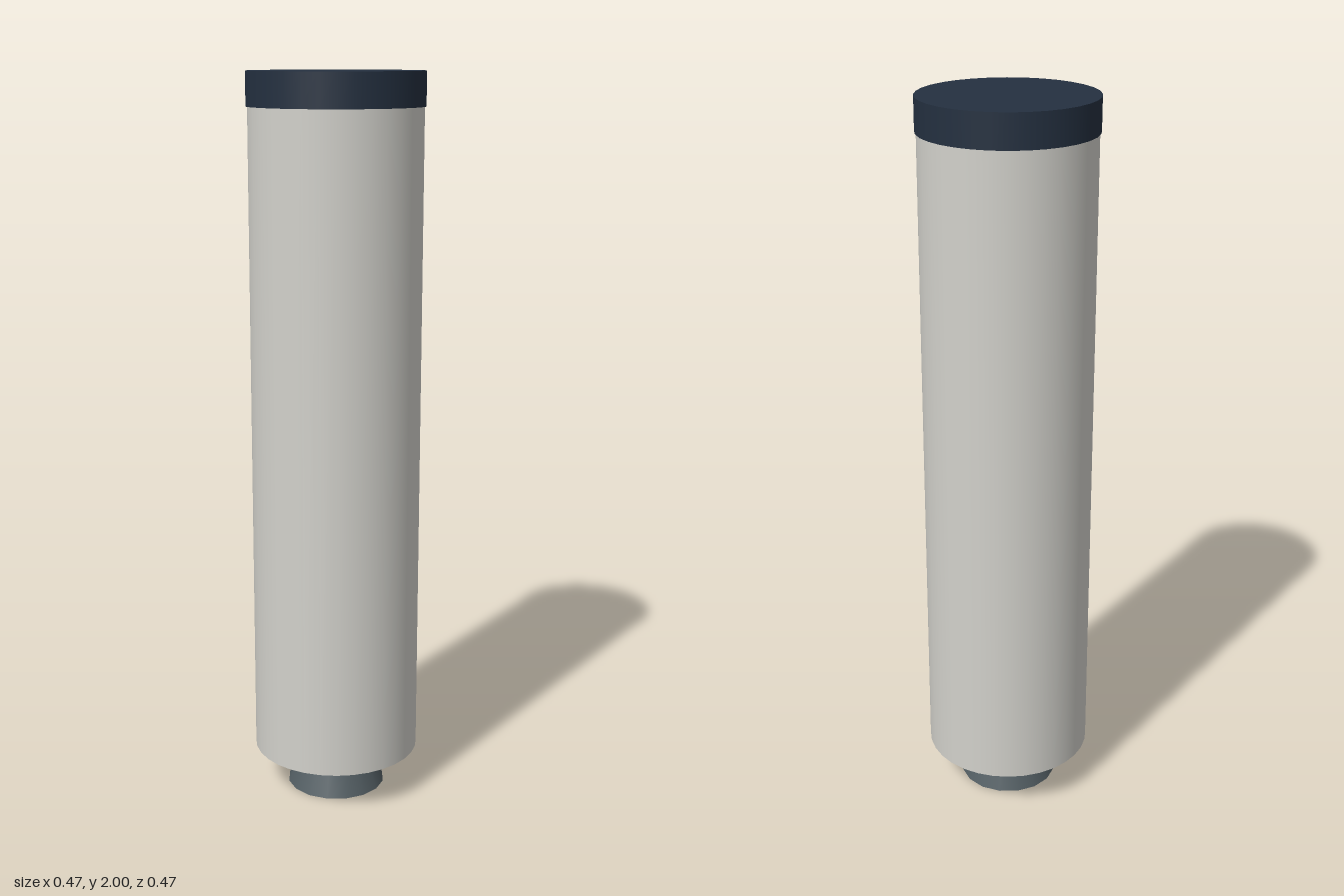
import * as THREE from 'three';

const paint = (name, color) => {
  const material = new THREE.MeshStandardMaterial({ color });
  material.name = name;
  return material;
};

export function createModel() {
  const model = new THREE.Group();
  model.name = 'boosterStage';

  const shell = paint('pale grey shell', 0xd2d1cb);
  const navy = paint('dark navy', 0x243040);
  const metal = paint('dark metal', 0x535e63);

  // Upright round section between two heights
  const section = (name, bottomR, topR, y0, y1, sides, material) => {
    const geometry = new THREE.CylinderGeometry(topR, bottomR, y1 - y0, sides);
    const mesh = new THREE.Mesh(geometry, material);
    mesh.name = name;
    mesh.position.y = (y0 + y1) / 2;
    model.add(mesh);
  };

  section('engineNozzle', 0.138, 0.097, 0, 0.122, 16, metal);
  section('body', 0.231, 0.231, 0.12, 1.912, 32, shell);
  // Slightly wider ring closing the top
  section('topCap', 0.235, 0.235, 1.91, 2, 32, navy);

  return model;
}
